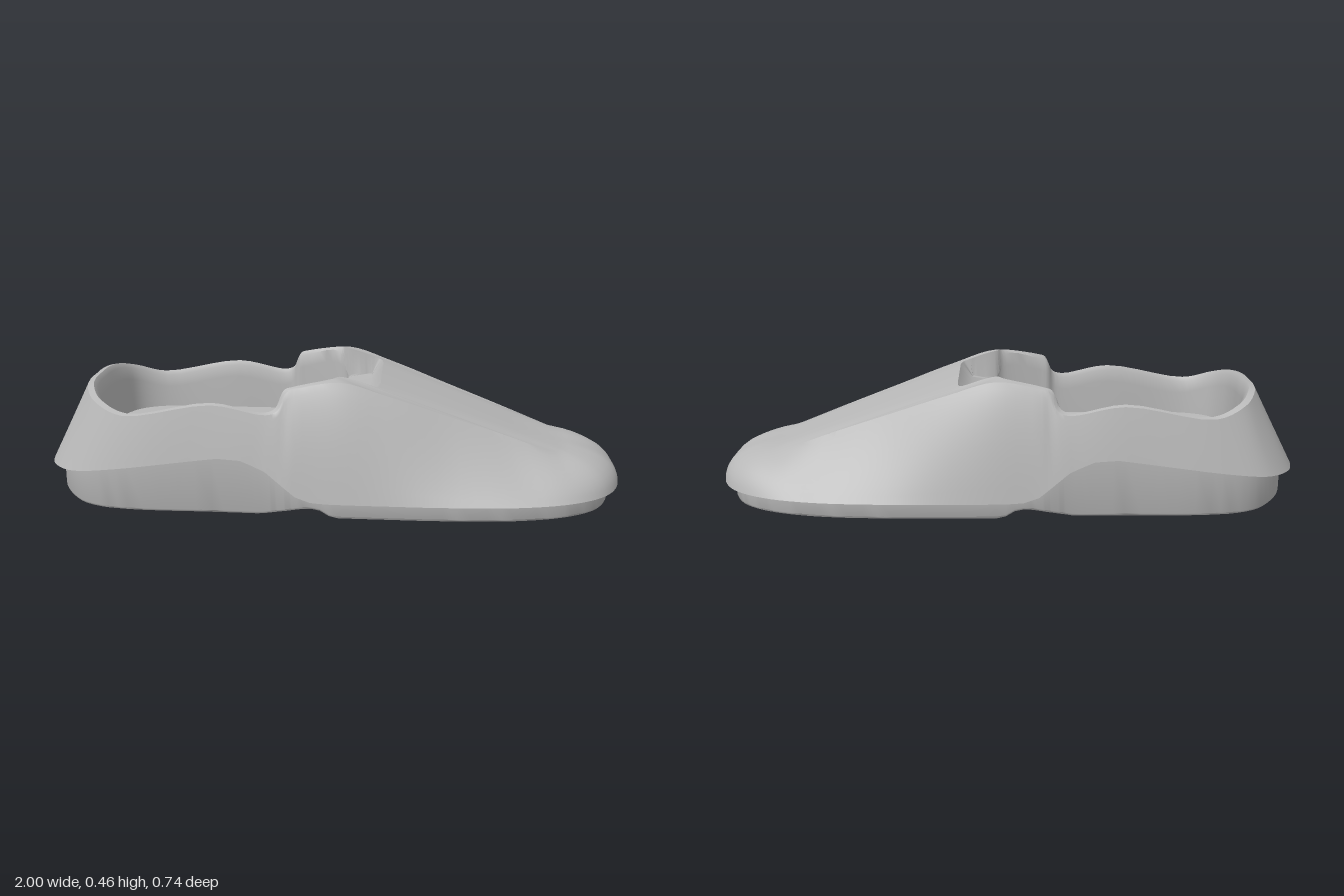
import * as THREE from 'three';
import { toCreasedNormals } from 'three/addons/utils/BufferGeometryUtils.js';

const STEPS = 5; // samples between stations

// Half stations run from toe centre, along the left side, to heel centre.
// Lower edge of the upper: x, z, then sideways and upward bulge of the wall.
const edge = [
  [1, 0, 0.04, 0.8], [0.985, 0.12, 0.04, 0.8], [0.93, 0.22, 0.08, 0.75], [0.82, 0.297, 0.25, 0.6],
  [0.65, 0.347, 0.46, 0.4], [0.4, 0.368, 0.46, 0.48], [0.2, 0.37, 0.43, 0.65], [0.04, 0.369, 0.42, 0.75],
  [-0.1, 0.362, 0.42, 0.72], [-0.14, 0.358, 0.45, 0.62], [-0.17, 0.353, 0.45, 0.58], [-0.22, 0.346, 0.45, 0.56],
  [-0.4, 0.342, 0.47, 0.53], [-0.7, 0.34, 0.48, 0.52], [-0.86, 0.302, 0.5, 0.5], [-0.955, 0.2, 0.5, 0.5],
  [-0.99, 0.1, 0.5, 0.5], [-1, 0, 0.5, 0.5],
];
// Crease around the instep panel, then the outer rim of the collar.
const ridge = [
  [0.78, 0.2, 0], [0.78, 0.2, 0.08], [0.78, 0.198, 0.125], [0.755, 0.2, 0.162], [0.58, 0.265, 0.19],
  [0.4, 0.33, 0.217], [0.2, 0.402, 0.247], [0.04, 0.45, 0.262], [-0.1, 0.428, 0.274], [-0.13, 0.418, 0.278],
  [-0.16, 0.36, 0.3], [-0.2, 0.347, 0.306], [-0.38, 0.377, 0.307], [-0.68, 0.332, 0.3],
  [-0.785, 0.365, 0.25], [-0.832, 0.39, 0.165], [-0.848, 0.397, 0.08], [-0.85, 0.397, 0],
];
// Edge of the tongue notch; the rest of the opening follows the rim.
const notch = [
  [0.17, 0.422, 0], [0.17, 0.421, 0.08], [0.17, 0.419, 0.15], [0.16, 0.42, 0.193],
  [0.13, 0.43, 0.2], [0.09, 0.444, 0.203], [0.037, 0.457, 0.21], [0.015, 0.456, 0.235],
];
const seam = [[-1, 0.115], [-0.6, 0.173], [-0.36, 0.205], [-0.28, 0.2], [-0.2, 0.165], [-0.1, 0.085], [-0.05, 0.068], [0, 0.065], [1, 0.065]];
const ground = [[-0.97, 0.04], [-0.93, 0.017], [-0.85, 0.005], [-0.75, 0], [-0.22, 0], [-0.08, 0.028], [-0.03, 0.03], [0.02, 0], [1, 0]];

function lookUp(table, x) {
  for (let i = 1; i < table.length; i++) {
    const [x0, y0] = table[i - 1], [x1, y1] = table[i];
    if (x <= x1) return y0 + (y1 - y0) * Math.max(0, (x - x0) / (x1 - x0));
  }
  return table[table.length - 1][1];
}

// Mirror half stations and sample a smooth closed ring
function ring(half) {
  const left = half.map(p => new THREE.Vector3(...p));
  const right = left.slice(1, -1).reverse().map(p => new THREE.Vector3(p.x, p.y, -p.z));
  const curve = new THREE.CatmullRomCurve3([...left, ...right], true);
  const count = (left.length + right.length) * STEPS;
  return Array.from({ length: count }, (_, j) => curve.getPoint(j / count));
}

// Skin rings in order; caps join the left and right sides
function loft(rings, capStart, capEnd) {
  const n = rings[0].length, pos = [], index = [];
  rings.forEach(r => r.forEach(p => pos.push(p.x, p.y, p.z)));
  const quad = (a, b, c, d) => index.push(a, b, c, a, c, d);
  for (let r = 0; r < rings.length - 1; r++) {
    for (let j = 0; j < n; j++) {
      const k = (j + 1) % n;
      quad(r * n + j, (r + 1) * n + j, (r + 1) * n + k, r * n + k);
    }
  }
  const last = (rings.length - 1) * n;
  for (let j = 0; j < n / 2; j++) {
    const m = (n - j) % n, k = n - j - 1;
    if (capEnd) quad(last + j, last + m, last + k, last + j + 1);
    if (capStart) quad(j + 1, k, m, j);
  }
  const geo = new THREE.BufferGeometry();
  geo.setAttribute('position', new THREE.Float32BufferAttribute(pos, 3));
  geo.setIndex(index);
  return toCreasedNormals(geo, 0.8);
}

const blend = (a, b, t) => a.map((p, j) => p.clone().lerp(b[j], t));

export function createModel() {
  const model = new THREE.Group();
  model.name = 'shoe';
  const grey = new THREE.MeshStandardMaterial({ color: 0xb8b8b8, side: THREE.DoubleSide });
  grey.name = 'plain grey';

  const outline = ring(edge.map(([x, z]) => [x, 0, z]));
  const bulge = ring(edge.map(e => [e[2], e[3], 0]));
  const inset = (amount, height) => outline.map(p => {
    const x = p.x * (1 - amount), z = p.z * (1 - amount / 0.37);
    return new THREE.Vector3(x, height(x), z);
  });

  // Upper: lip, curved wall, instep panel, rounded collar and lining
  const lower = inset(0, x => lookUp(seam, x));
  const crease = ring(ridge);
  const tuck = ([x, y, z], scale, drop) => [-0.4 + (x + 0.4) * scale, y - drop, z * scale];
  const opening = ridge.map((p, i) => (i < notch.length ? notch[i] : tuck(p, 0.955, -0.005)));
  const collar = ring(opening);
  const front = i => i < notch.length - 1;
  const lining = ring(opening.map((p, i) =>
    front(i) ? [Math.min(p[0], 0.128), 0.365, p[2] * 0.97] : tuck(p, 0.972, 0.016)));
  const shelf = ring(opening.map((p, i) =>
    front(i) ? [0.04, 0.35, p[2] * 0.97] : tuck(p, 0.965, 0.06)));
  const floor = ring(opening.map((p, i) =>
    front(i) ? [0.038, 0.2, p[2]] : tuck(p, 0.96, p[1] - 0.2)));

  const wall = [];
  for (let r = 0; r <= 10; r++) {
    const t = r / 10;
    wall.push(lower.map((b, j) => {
      const c = crease[j], { x: side, y: rise } = bulge[j];
      const mix = (p, q, w) => p + (q - p) * (2 * t * (1 - t) * w + t * t);
      return new THREE.Vector3(mix(b.x, c.x, side), mix(b.y, c.y, rise), mix(b.z, c.z, side));
    }));
  }
  const panel = [0.25, 0.5, 0.75].map(t => blend(crease, collar, t));
  const lip = inset(0.04, x => lookUp(seam, x) + 0.002);
  const upper = new THREE.Mesh(loft([lip, ...wall, ...panel, collar, lining, shelf, floor], false, true), grey);
  upper.name = 'upper';

  // Sole: recessed flat underside, narrow rim with heel lift and arch, side band
  const tread = x => lookUp(ground, x);
  const sole = new THREE.Mesh(loft([
    inset(0.058, () => 0.045),
    inset(0.056, x => tread(x) + 0.003),
    inset(0.045, tread),
    inset(0.038, x => tread(x) + 0.003),
    inset(0.035, x => tread(x) + 0.01),
    inset(0.035, x => lookUp(seam, x) + 0.004),
  ], true, false), grey);
  sole.name = 'sole';

  model.add(upper, sole);
  return model;
}
